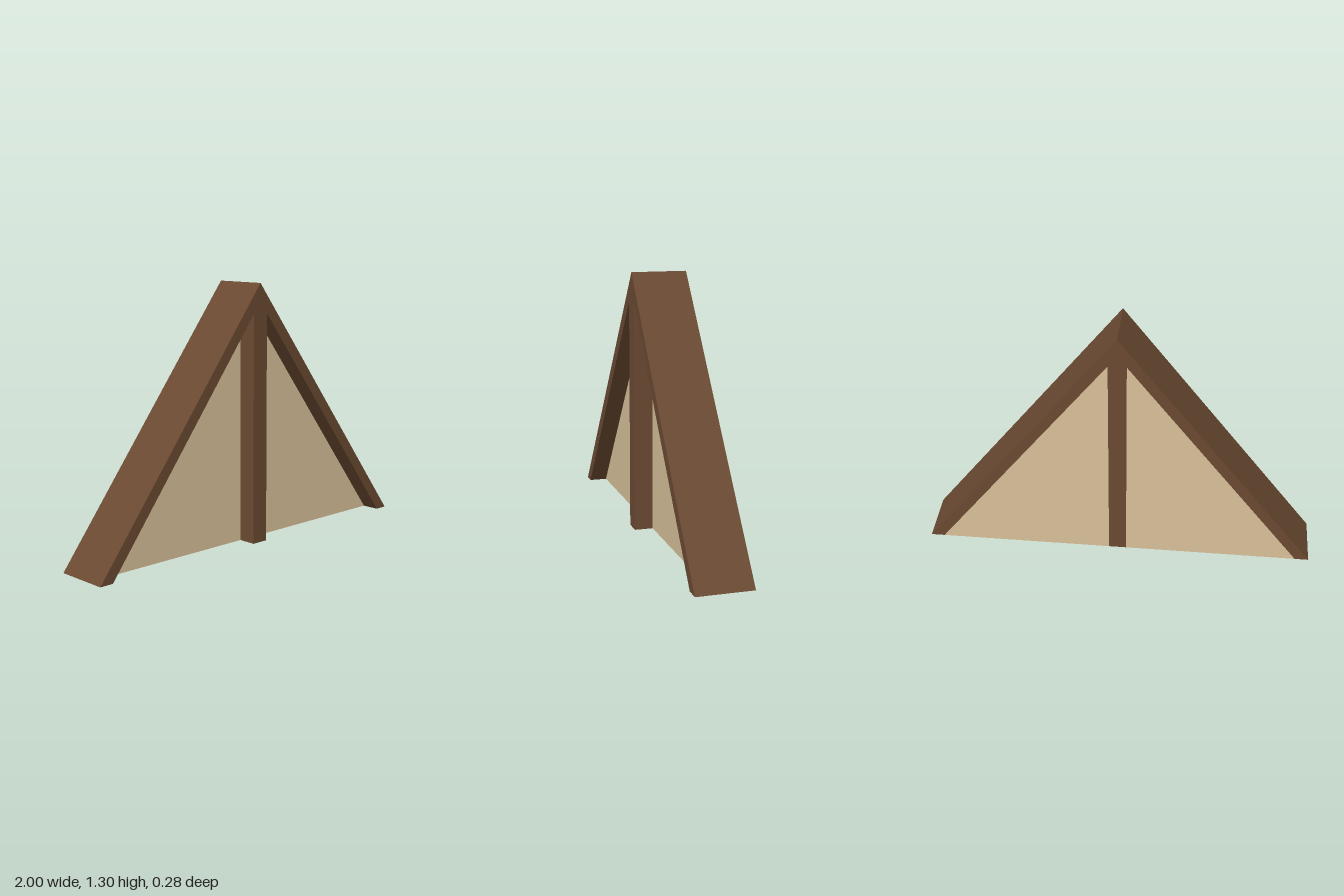
import * as THREE from 'three';

const timber = new THREE.MeshStandardMaterial({ color: 0x6b4a32 });
timber.name = 'brown timber';
const plaster = new THREE.MeshStandardMaterial({ color: 0xd9c19a });
plaster.name = 'cream plaster';

const HEIGHT = 1.3, HALF = 1;               // outer gable triangle
const IN_HEIGHT = 1.21, IN_HALF = 0.93;     // inner edge of the rafters
const POST = 0.045;                         // half width of the post
const BACK = -0.14, FRONT = 0.14, PANEL_FRONT = 0.047;
const POST_TOP = IN_HEIGHT * (1 - POST / IN_HALF);

// Extrudes an outline in x and y from one depth to another
function slab(name, points, material, z0, z1) {
  const shape = new THREE.Shape(points.map(([x, y]) => new THREE.Vector2(x, y)));
  const geometry = new THREE.ExtrudeGeometry(shape, { depth: z1 - z0, bevelEnabled: false });
  geometry.translate(0, 0, z0);
  const mesh = new THREE.Mesh(geometry, material);
  mesh.name = name;
  return mesh;
}

export function createModel() {
  const model = new THREE.Group();
  model.name = 'gable';

  // Sloping rafters and the plaster infill on each side of the post
  for (const [side, s] of [['left', 1], ['right', -1]]) {
    model.add(slab(side + 'Rafter',
      [[s * HALF, 0], [0, HEIGHT], [0, IN_HEIGHT], [s * IN_HALF, 0]], timber, BACK, FRONT));
    model.add(slab(side + 'Infill',
      [[s * POST, 0], [s * IN_HALF, 0], [s * POST, POST_TOP]], plaster, BACK, PANEL_FRONT));
  }

  // Central post, pointed to meet the underside of the rafters
  model.add(slab('centrePost',
    [[-POST, 0], [POST, 0], [POST, POST_TOP], [0, IN_HEIGHT], [-POST, POST_TOP]], timber, BACK, FRONT));

  return model;
}
